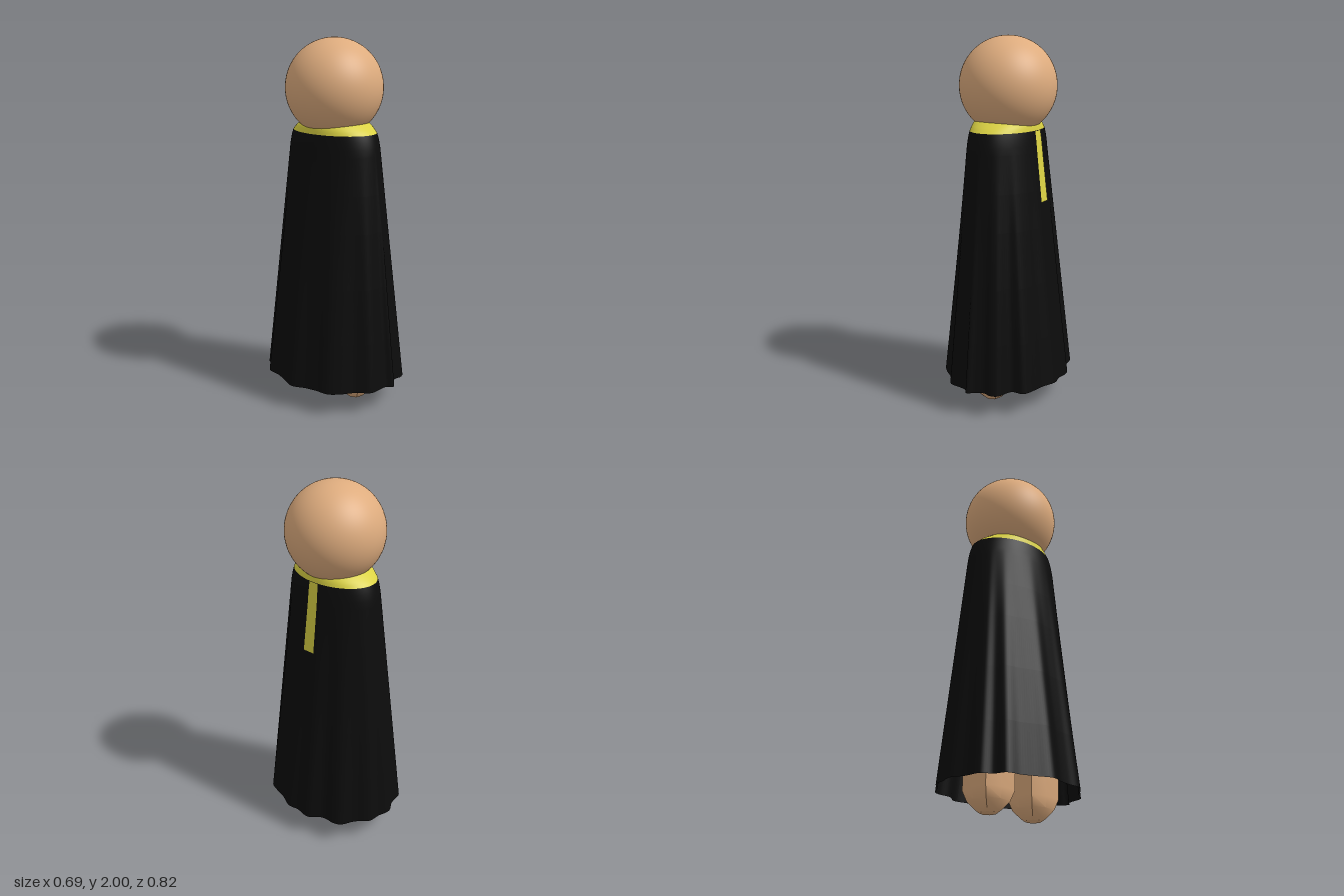
import * as THREE from 'three';
import { toCreasedNormals } from 'three/addons/utils/BufferGeometryUtils.js';

const mat = (name, color, side = THREE.FrontSide) => {
  const m = new THREE.MeshStandardMaterial({ color, side });
  m.name = name;
  return m;
};

// Wavy hem outline as x, z pairs, running from the left side round the front
const HEM = [
  .337, -.094, .33, -.033, .341, .033, .31, .116, .30, .164, .27, .25, .203, .264, .17, .35, .13, .367,
  .087, .358, .044, .378, .007, .408, -.022, .378, -.06, .369, -.13, .36, -.186, .29, -.25, .24,
  -.295, .186, -.303, .11, -.317, .044, -.345, -.033, -.317, -.11, -.29, -.185, -.277, -.266,
  -.218, -.30, -.186, -.356, -.098, -.378, -.03, -.415, .045, -.40, .11, -.395, .175, -.338,
  .25, -.30, .27, -.262, .28, -.185, .328, -.13,
];
const hemPoints = [];
for (let i = 0; i < HEM.length; i += 2) hemPoints.push(new THREE.Vector3(HEM[i], 0, HEM[i + 1]));
const hemCurve = new THREE.CatmullRomCurve3(hemPoints, true);
const HEM_Y = 0.13, SHOULDER_Y = 1.4;

// Elliptical sections above the folds: [y, half width x, half depth z]
const SECTIONS = [
  [1.40, .188, .278], [1.44, .184, .273], [1.48, .179, .264], [1.51, .174, .253],
  [1.535, .171, .227], [1.56, .166, .19], [1.58, .14, .15],
];

// Point of the garment at hem parameter u and height y
function garmentPoint(u, y, offset) {
  const hem = hemCurve.getPoint(((u % 1) + 1) % 1);
  const angle = Math.atan2(hem.z / 0.41, hem.x / 0.34);
  let i = 0;
  while (i < SECTIONS.length - 2 && y > SECTIONS[i + 1][0]) i++;
  const [y0, a0, b0] = SECTIONS[i], [y1, a1, b1] = SECTIONS[i + 1];
  const k = THREE.MathUtils.clamp((y - y0) / (y1 - y0), 0, 1);
  const a = THREE.MathUtils.lerp(a0, a1, k) + offset;
  const b = THREE.MathUtils.lerp(b0, b1, k) + offset;
  const p = new THREE.Vector3(a * Math.cos(angle), 0, b * Math.sin(angle) - 0.01);
  const fold = THREE.MathUtils.clamp((SHOULDER_Y - y) / (SHOULDER_Y - HEM_Y), 0, 1);
  hem.x += offset * Math.cos(angle);
  hem.z += offset * Math.sin(angle);
  p.lerp(hem, fold);
  p.y = y;
  return p;
}

// Skin of the garment between the given heights and hem parameters
function garment(heights, u0, u1, columns, offset = 0) {
  const pos = [], index = [], n = columns + 1;
  for (const y of heights)
    for (let c = 0; c <= columns; c++)
      pos.push(...garmentPoint(u0 + (u1 - u0) * c / columns, y, offset).toArray());
  for (let r = 0; r < heights.length - 1; r++)
    for (let c = 0; c < columns; c++) {
      const a = r * n + c, up = a + n;
      index.push(a, up, a + 1, a + 1, up, up + 1);
    }
  const g = new THREE.BufferGeometry();
  g.setAttribute('position', new THREE.Float32BufferAttribute(pos, 3));
  g.setIndex(index);
  g.computeVertexNormals();
  return g;
}

// Squarish leg that narrows to a rounded foot
function legGeometry() {
  const profile = [[0, .005], [.045, .008], [.062, .022], [.095, .065], [.105, .12], [.105, .6]]
    .map(([r, y]) => new THREE.Vector2(r, y));
  const g = new THREE.LatheGeometry(profile, 8);
  const p = g.attributes.position;
  for (let i = 0; i < p.count; i++) {
    const x = p.getX(i), z = p.getZ(i);
    const corner = Math.abs(x) > 0.01 && Math.abs(z) > 0.01;
    const k = corner ? 1 + 0.26 * Math.min(1, p.getY(i) / 0.12) : 1;
    p.setXYZ(i, x * k, p.getY(i), z * k);
  }
  return toCreasedNormals(g, 0.6);
}

export function createModel() {
  const model = new THREE.Group();
  const skin = mat('skin', 0xdeac7e);
  const cloth = mat('black cloth', 0x0c0c0c, THREE.DoubleSide);
  const trim = mat('yellow trim', 0xdbd244, THREE.DoubleSide);
  const add = (name, geometry, material) => {
    const mesh = new THREE.Mesh(geometry, material);
    mesh.name = name;
    model.add(mesh);
    return mesh;
  };

  // Head
  add('head', new THREE.SphereGeometry(0.262, 64, 40), skin).position.set(0.002, 1.738, -0.013);

  // Robe, collar and the trim strip on the left side
  add('robe', garment([.13, .4, .7, 1, 1.2, 1.4, 1.44, 1.48, 1.51], 0, 1, 210), cloth);
  add('collar', garment([1.51, 1.522, 1.535, 1.56, 1.58], 0, 1, 210), trim);
  add('sideStrip', garment([1.13, 1.2, 1.3, 1.4, 1.44, 1.48, 1.51], 0.3 / 35, 1.7 / 35, 8, 0.004), trim);

  // Legs
  for (const [name, z] of [['frontLeg', 0.143], ['backLeg', -0.153]])
    add(name, legGeometry(), skin).position.set(0, -0.005, z);

  return model;
}
